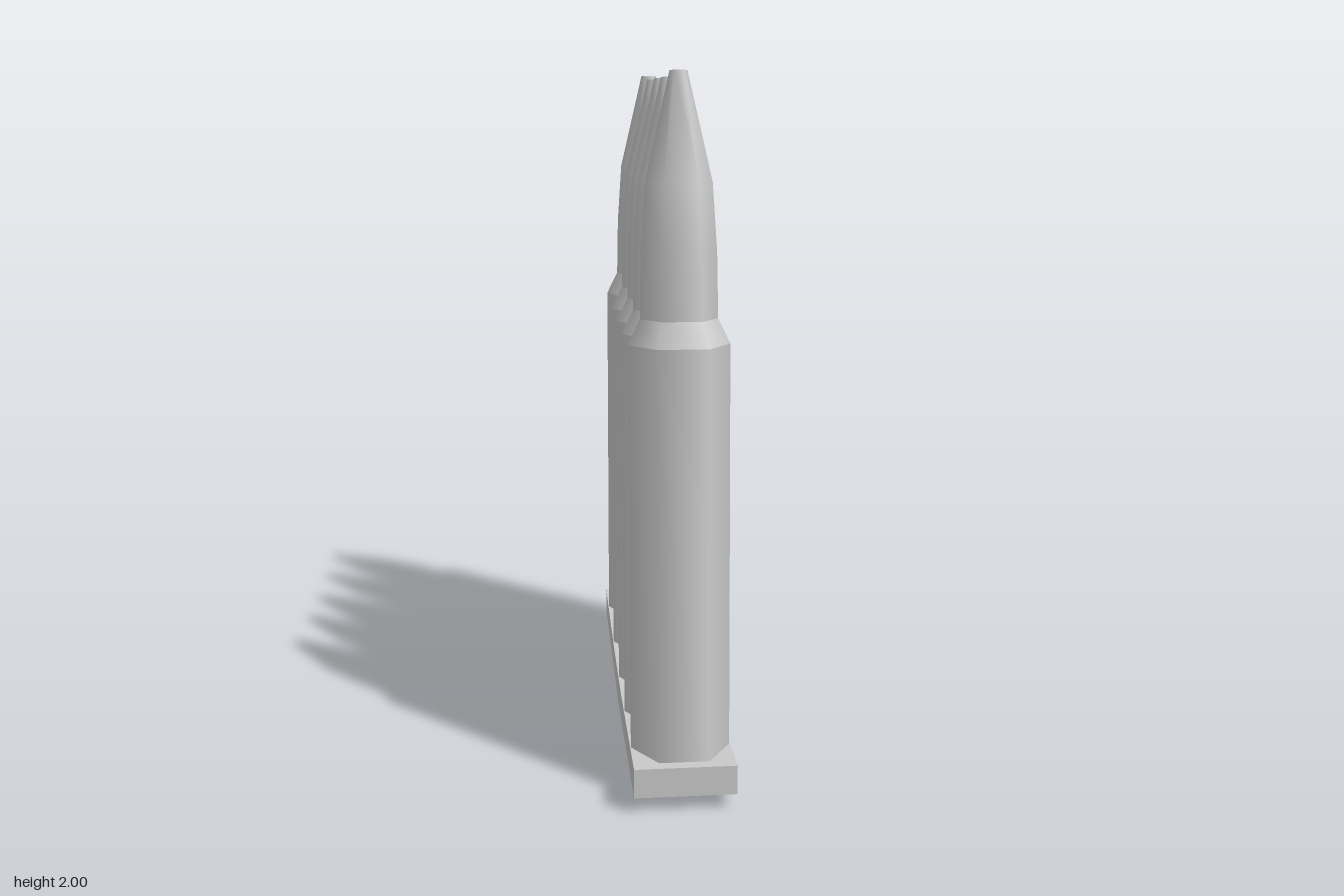
import * as THREE from 'three';
import { mergeGeometries } from 'three/addons/utils/BufferGeometryUtils.js';

const material = new THREE.MeshStandardMaterial({ color: 0xcccccc });

// Six-sided turned section with corners on the x axis
function turned(points) {
  return new THREE.LatheGeometry(points.map(([r, y]) => new THREE.Vector2(r, y)), 6, Math.PI / 2);
}

// Separate sections keep hard edges between them
function part(name, ...sections) {
  const mesh = new THREE.Mesh(mergeGeometries(sections.map(turned)), material);
  mesh.name = name;
  return mesh;
}

// One cartridge, standing on its base at y = 0
function createCartridge() {
  const cartridge = new THREE.Group();
  cartridge.add(
    part('case',
      [[0, 0], [0.141, 0]],
      [[0.141, 0], [0.141, 1.17]],
      [[0.141, 1.17], [0.107, 1.24]]),
    part('bullet',
      [[0.107, 1.24], [0.104, 1.42], [0.092, 1.605], [0.024, 1.9]],
      [[0.024, 1.9], [0, 1.9]])
  );
  return cartridge;
}

// Slightly bowed strip: side profile as [z, y], extruded across x
function createClip() {
  const profile = [
    [0.76, 0.045], [0.16, 0.005], [0.02, 0], [-0.24, 0.005], [-0.76, 0.027],
    [-0.76, 0.112], [-0.24, 0.09], [0.16, 0.09], [0.76, 0.13]
  ];
  const shape = new THREE.Shape(profile.map(([z, y]) => new THREE.Vector2(-z, y)));
  const geometry = new THREE.ExtrudeGeometry(shape, { depth: 0.286, bevelEnabled: false });
  geometry.translate(0, 0, -0.143);
  geometry.rotateY(Math.PI / 2);
  const clip = new THREE.Mesh(geometry, material);
  clip.name = 'clip';
  return clip;
}

export function createModel() {
  const model = new THREE.Group();
  model.name = 'cartridgeClip';
  model.add(createClip());

  // Base z, base y and tip z of each cartridge, fanned inward at the top
  const rows = [
    [0.6, 0.102, 0.505],
    [0.31, 0.087, 0.245],
    [0.02, 0.086, 0.013],
    [-0.285, 0.086, -0.247],
    [-0.597, 0.103, -0.492]
  ];
  rows.forEach(([z, y, tipZ], i) => {
    const cartridge = createCartridge();
    cartridge.name = `cartridge${i + 1}`;
    cartridge.position.set(0, y, z);
    cartridge.rotation.x = Math.asin((tipZ - z) / 1.9);
    model.add(cartridge);
  });
  return model;
}
